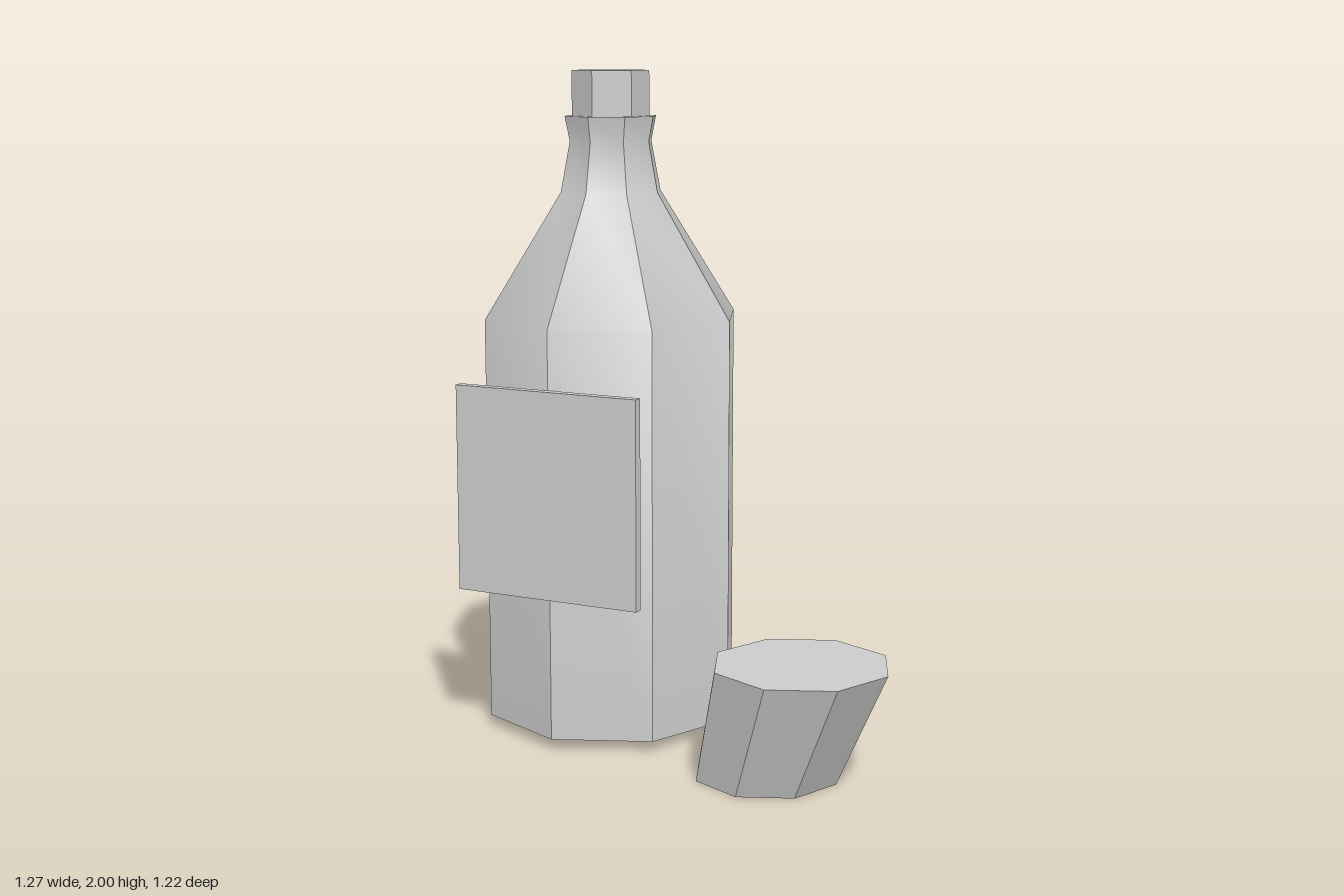
import * as THREE from 'three';
import { toCreasedNormals } from 'three/addons/utils/BufferGeometryUtils.js';

export function createModel() {
  const group = new THREE.Group();
  const grey = new THREE.MeshStandardMaterial({ color: 0xcccccc });
  grey.name = 'light grey';

  const add = (name, geometry, x, y, z, turn = 0) => {
    const mesh = new THREE.Mesh(geometry, grey);
    mesh.name = name;
    mesh.position.set(x, y, z);
    mesh.rotation.y = THREE.MathUtils.degToRad(turn);
    group.add(mesh);
  };
  // Sharp between facets, smooth along the gentle curve of the neck
  const crease = (geometry) => toCreasedNormals(geometry, THREE.MathUtils.degToRad(35));

  // Eight-sided bottle with a shallow pointed base and a flared lip
  const profile = [
    [0, 0], [0.396, 0.033], [0.396, 1.265], [0.157, 1.64],
    [0.128, 1.79], [0.143, 1.865], [0, 1.865],
  ].map(([r, y]) => new THREE.Vector2(r, y));
  add('bottle', crease(new THREE.LatheGeometry(profile, 8, Math.PI / 8)), -0.2, 0, -0.245);

  // Six-sided stopper
  add('stopper', crease(new THREE.CylinderGeometry(0.116, 0.116, 0.14, 6)), -0.2, 1.93, -0.245, 37.4);

  // Flat label plate leaning across one front corner of the bottle
  add('label', new THREE.BoxGeometry(0.593, 0.62, 0.029), -0.354, 0.78, 0.136, -22);

  // Small cup: tapered octagon whose top is shifted outwards
  const height = 0.36;
  const cup = new THREE.CylinderGeometry(0.26, 0.2165, height, 8, 1, false, Math.PI / 8);
  cup.applyMatrix4(new THREE.Matrix4().set(
    1, 0.097 / height, 0, 0,
    0, 1, 0, 0,
    0, 0.099 / height, 1, 0,
    0, 0, 0, 1,
  ));
  add('cup', toCreasedNormals(cup, 0.1), 0.342, height / 2, 0.318);

  return group;
}
